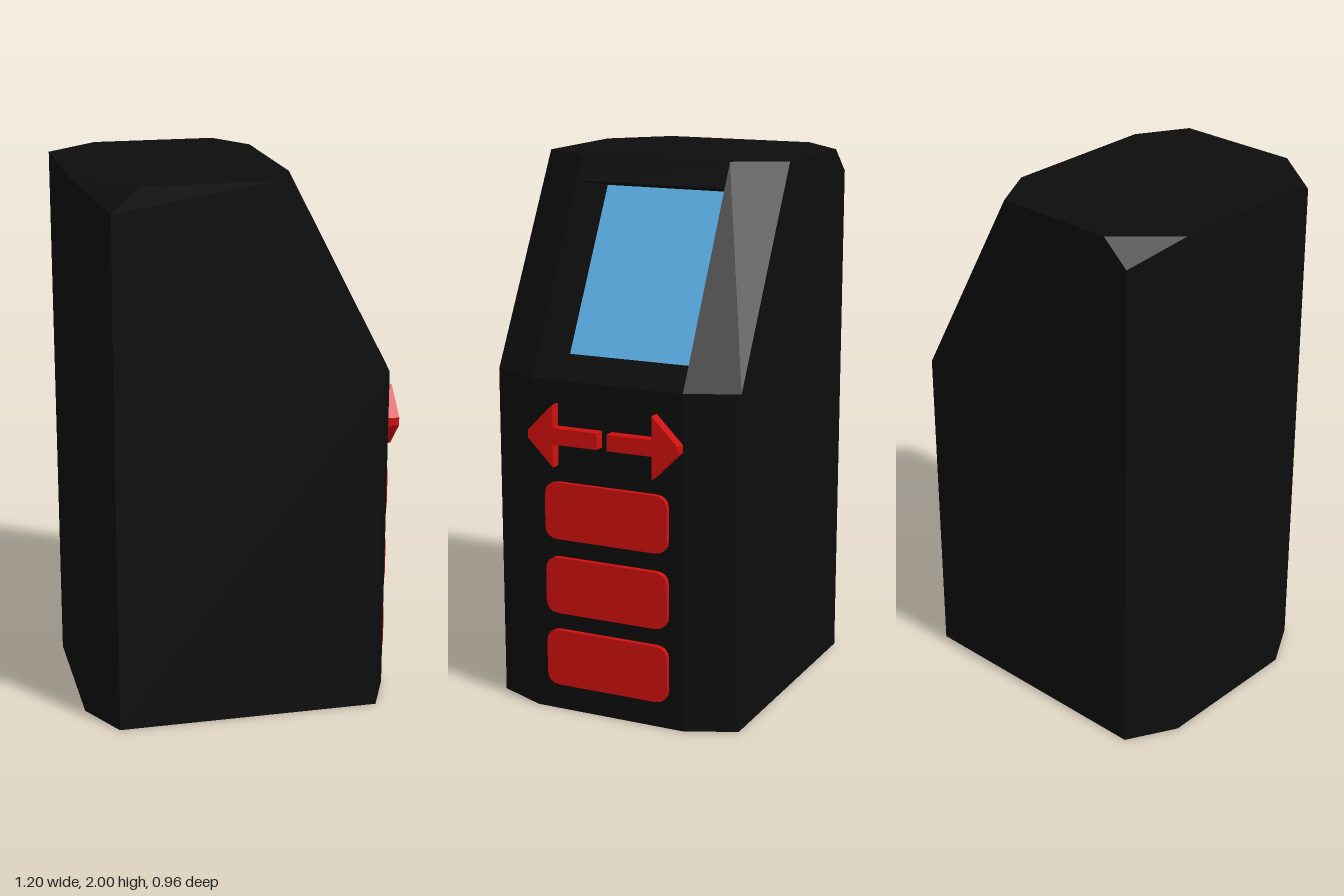
import * as THREE from 'three';
import { ConvexGeometry } from 'three/addons/geometries/ConvexGeometry.js';

const FACE_X = 0.555; // control panel plane
const INNER_Z = 0.295; // half width of the central slab
const OUTER_Z = 0.48;

const material = (color) => new THREE.MeshStandardMaterial({ color, flatShading: true });

function polygon(points) {
  return new THREE.Shape(points.map(([x, y]) => new THREE.Vector2(x, y)));
}

function roundedRect(w, h, r) {
  const x = w / 2, y = h / 2, s = new THREE.Shape();
  s.moveTo(-x + r, -y);
  s.lineTo(x - r, -y);
  s.quadraticCurveTo(x, -y, x, -y + r);
  s.lineTo(x, y - r);
  s.quadraticCurveTo(x, y, x - r, y);
  s.lineTo(-x + r, y);
  s.quadraticCurveTo(-x, y, -x, y - r);
  s.lineTo(-x, -y + r);
  s.quadraticCurveTo(-x, -y, -x + r, -y);
  return s;
}

function extrude(shape, depth) {
  return new THREE.ExtrudeGeometry(shape, { depth, bevelEnabled: false, curveSegments: 4 });
}

export function createModel() {
  const model = new THREE.Group();
  const black = material(0x0d0d0d);
  const red = material(0xd00f0f);
  const blue = material(0x5cb0e6);

  function add(name, geometry, mat, parent = model) {
    const mesh = new THREE.Mesh(geometry, mat);
    mesh.name = name;
    parent.add(mesh);
    return mesh;
  }

  // Central slab, its profile notched by the deep screen recess
  const recessTop = [-0.045, 1.865], recessBottom = [0.37, 1.09];
  const slab = extrude(polygon([
    [-0.6, 0], [FACE_X, 0], [FACE_X, 1.245],
    [0.51, 1.335], recessBottom, recessTop, [0.21, 1.91],
    [0.165, 2], [-0.6, 2],
  ]), INNER_Z * 2);
  slab.translate(0, 0, -INNER_Z);
  add('bodyCentre', slab, black);

  // Chamfered sides, which also close the ends of the recess
  const innerOutline = [[-0.6, 0], [-0.6, 2], [0.165, 2], [FACE_X, 1.245], [FACE_X, 0]];
  const outerOutline = [[-0.5, 0], [-0.5, 1.91], [-0.4, 2], [0.06, 2], [0.475, 1.245], [0.475, 0]];
  for (const [name, side] of [['bodyFrontSide', 1], ['bodyBackSide', -1]]) {
    const points = [
      ...innerOutline.map(([x, y]) => new THREE.Vector3(x, y, side * INNER_Z)),
      ...outerOutline.map(([x, y]) => new THREE.Vector3(x, y, side * OUTER_Z)),
    ];
    add(name, new ConvexGeometry(points), black);
  }

  // Screen on the back wall of the recess
  const dx = recessBottom[0] - recessTop[0], dy = recessBottom[1] - recessTop[1];
  const screen = add('screen', new THREE.BoxGeometry(Math.hypot(dx, dy), 0.01, INNER_Z * 2), blue);
  screen.position.set(recessTop[0] + dx / 2, recessTop[1] + dy / 2, 0);
  screen.rotation.z = Math.atan2(dy, dx);

  // Raised controls, drawn flat and turned to face +x
  const panel = new THREE.Group();
  panel.name = 'controlPanel';
  panel.position.x = FACE_X;
  panel.rotation.y = Math.PI / 2;
  model.add(panel);

  for (const y of [0.208, 0.486, 0.768]) {
    add('button', extrude(roundedRect(0.485, 0.212, 0.05), 0.02), red, panel).position.y = y;
  }

  const arrow = extrude(polygon([
    [0.02, -0.03], [0.195, -0.03], [0.195, -0.115], [0.295, -0.015],
    [0.295, 0.015], [0.195, 0.115], [0.195, 0.03], [0.02, 0.03],
  ]), 0.042);
  for (const [name, turn] of [['backArrow', 0], ['frontArrow', Math.PI]]) {
    const mesh = add(name, arrow, red, panel);
    mesh.position.y = 1.05;
    mesh.rotation.z = turn;
  }

  return model;
}
